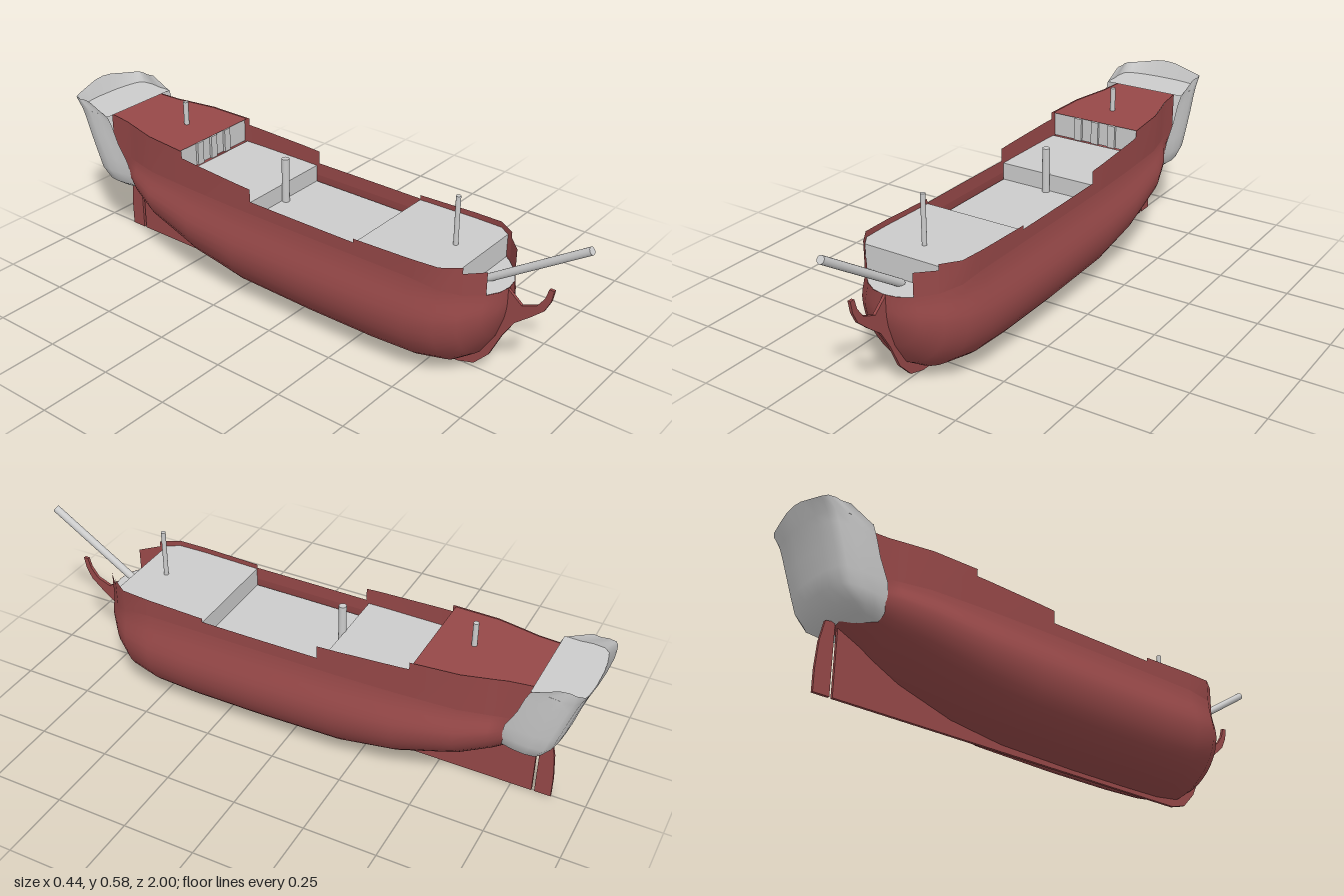
import * as THREE from 'three';

const red = new THREE.MeshStandardMaterial({ color: 0x964848, side: THREE.DoubleSide });
const grey = new THREE.MeshStandardMaterial({ color: 0xcccccc, side: THREE.DoubleSide });

// Hull stations: z, max half-beam, bottom y, y of max beam, half-width at rail, y where bulwark starts, hollowness
const stations = [
  [-0.83, 0.105, 0.232, 0.32, 0.12, 0.37, 1.5],
  [-0.74, 0.137, 0.19, 0.31, 0.13, 0.37, 1.6],
  [-0.7, 0.158, 0.165, 0.30, 0.14, 0.37, 1.6],
  [-0.6, 0.19, 0.115, 0.275, 0.163, 0.37, 1.5],
  [-0.4, 0.209, 0.055, 0.24, 0.175, 0.37, 1.2],
  [-0.2, 0.216, 0.028, 0.225, 0.181, 0.37, 1],
  [0.1, 0.218, 0.02, 0.22, 0.183, 0.37, 1],
  [0.35, 0.218, 0.02, 0.22, 0.183, 0.37, 1],
  [0.5, 0.214, 0.022, 0.225, 0.183, 0.37, 1.05],
  [0.6, 0.196, 0.035, 0.24, 0.178, 0.36, 1.15],
  [0.66, 0.155, 0.075, 0.25, 0.138, 0.345, 1.2],
  [0.71, 0.1, 0.155, 0.265, 0.087, 0.34, 1.2],
  [0.735, 0.048, 0.23, 0.28, 0.045, 0.34, 1.1],
  [0.742, 0.004, 0.27, 0.3, 0.004, 0.34, 1],
];

// Linear interpolation of one station column
function at(z, col) {
  let i = 0;
  while (i < stations.length - 2 && z > stations[i + 1][0]) i++;
  const a = stations[i], b = stations[i + 1];
  return THREE.MathUtils.lerp(a[col], b[col], THREE.MathUtils.clamp((z - a[0]) / (b[0] - a[0]), 0, 1));
}

// All sample positions between z0 and z1
const span = (z0, z1) => [z0, ...stations.map(s => s[0]).filter(z => z > z0 + 1e-4 && z < z1 - 1e-4), z1];

// Smooth surface through rows of points
function surface(rows, material, name) {
  const n = rows[0].length, index = [];
  for (let i = 0; i < rows.length - 1; i++)
    for (let j = 0; j < n - 1; j++) {
      const a = i * n + j, b = a + 1, c = a + n, d = c + 1;
      index.push(a, b, c, b, d, c);
    }
  const g = new THREE.BufferGeometry();
  g.setAttribute('position', new THREE.Float32BufferAttribute(rows.flat(2), 3));
  g.setIndex(index);
  g.computeVertexNormals();
  const m = new THREE.Mesh(g, material);
  m.name = name;
  return m;
}

function section([z, w, yb, ym, wt, yk, p]) {
  const half = [];
  for (let i = 0; i <= 10; i++) {
    const a = i / 10 * Math.PI / 2;
    half.push([w * Math.sin(a) ** p, yb + (ym - yb) * (1 - Math.cos(a)), z]);
  }
  for (let i = 1; i <= 5; i++) {
    const t = i / 5;
    half.push([w + (wt - w) * t * t * (3 - 2 * t), ym + (yk - ym) * t, z]);
  }
  return [...half.slice(1).reverse().map(([x, y, zz]) => [-x, y, zz]), ...half];
}

// Deck following the hull plan
function deck(name, z0, z1, y0, y1, material = grey) {
  return surface(span(z0, z1).map(z => {
    const w = at(z, 4) - 0.002, y = y0 + (y1 - y0) * (z - z0) / (z1 - z0);
    return [[w, y, z], [-w, y, z]];
  }), material, name);
}

// Wall across the ship
function bulkhead(name, z, y0, y1) {
  const w = at(z, 4) - 0.002;
  return surface([[[-w, y0, z], [w, y0, z]], [[-w, y1, z], [w, y1, z]]], grey, name);
}

// Thin plate drawn in the z-y plane
function plate(name, points) {
  const shape = new THREE.Shape(points.map(([z, y]) => new THREE.Vector2(-z, y)));
  const g = new THREE.ExtrudeGeometry(shape, { depth: 0.01, bevelEnabled: false });
  g.translate(0, 0, -0.005).rotateY(Math.PI / 2);
  const m = new THREE.Mesh(g, red);
  m.name = name;
  return m;
}

function spar(name, r, from, to) {
  const a = new THREE.Vector3(...from), b = new THREE.Vector3(...to);
  const m = new THREE.Mesh(new THREE.CylinderGeometry(r, r, a.distanceTo(b), 16), grey);
  m.position.copy(a).add(b).multiplyScalar(0.5);
  m.quaternion.setFromUnitVectors(new THREE.Vector3(0, 1, 0), b.sub(a).normalize());
  m.name = name;
  return m;
}

export function createModel() {
  const ship = new THREE.Group();
  ship.name = 'ship';

  ship.add(surface(stations.map(section), red, 'hull'));

  // Stepped bulwarks: z0, y0, z1, y1
  const rails = [
    [-0.83, 0.512, -0.44, 0.5], [-0.44, 0.475, -0.13, 0.46], [-0.13, 0.415, 0.29, 0.415],
    [0.29, 0.428, 0.66, 0.44], [0.66, 0.42, 0.712, 0.42],
  ];
  for (const side of [-1, 1])
    for (const [z0, y0, z1, y1] of rails)
      ship.add(surface(span(z0, z1).map(z => {
        const x = side * at(z, 4), top = y0 + (y1 - y0) * (z - z0) / (z1 - z0);
        return side > 0 ? [[x, at(z, 5), z], [x, top, z]] : [[x, top, z], [x, at(z, 5), z]];
      }), red, 'bulwark'));

  // Decks and the walls between their levels
  ship.add(
    deck('beakheadDeck', 0.64, 0.742, 0.34, 0.34),
    deck('foredeck', 0.29, 0.64, 0.412, 0.42),
    deck('mainDeck', -0.14, 0.29, 0.345, 0.345),
    deck('quarterDeck', -0.45, -0.14, 0.41, 0.405),
    deck('poopDeck', -0.83, -0.45, 0.51, 0.497, red),
    bulkhead('beakheadBulkhead', 0.64, 0.34, 0.42),
    bulkhead('foredeckBulkhead', 0.29, 0.345, 0.412),
    bulkhead('quarterDeckBulkhead', -0.14, 0.345, 0.405),
    bulkhead('poopBulkhead', -0.46, 0.41, 0.495),
  );
  for (const x of [-0.068, 0, 0.068]) {
    const panel = new THREE.Mesh(new THREE.BoxGeometry(0.028, 0.082, 0.01), grey);
    panel.position.set(x, 0.452, -0.456);
    panel.name = 'poopPanel';
    ship.add(panel);
  }

  // Stern gallery: U-shaped rings of y, front z, back z, half-width
  const rings = [
    [0.235, -0.76, -0.80, 0.06], [0.24, -0.74, -0.835, 0.11], [0.258, -0.738, -0.875, 0.135],
    [0.3, -0.738, -0.908, 0.148], [0.35, -0.745, -0.925, 0.152], [0.42, -0.78, -0.945, 0.156],
    [0.48, -0.8, -0.965, 0.157], [0.512, -0.815, -0.977, 0.158], [0.55, -0.9, -0.992, 0.158],
  ];
  const gallery = rings.map(([y, zf, zb, w], k) => {
    const d = zf - zb;
    const half = [
      [w * (0.86 + 0.14 * Math.min(1, k / 8)), zf], [w * 0.97, zf - d * 0.3], [w, zf - d * 0.55],
      [w * 0.97, zb + d * 0.2], [w * 0.85, zb + d * 0.09], [w * 0.55, zb + d * 0.03], [w * 0.25, zb], [0, zb],
    ];
    const lift = x => (k === 8 ? 0.025 * Math.cos(x / w * Math.PI / 2) ** 2 : 0);
    const pts = half.map(([x, z]) => [x, y + lift(x), z - lift(x) * 0.3]);
    return [...pts, ...pts.slice(0, -1).reverse().map(([x, yy, z]) => [-x, yy, z])];
  });
  ship.add(surface(gallery, grey, 'sternGallery'));
  const floor = (name, ring, y) => surface(
    ring.slice(0, 8).map(([x, yy, z]) => [[x, y ?? yy, z], [-x, y ?? yy, z]]), grey, name);
  ship.add(floor('galleryDeck', gallery[7], 0.515), floor('galleryUnderside', gallery[0]));

  // Keel with curved stem, and rudder
  ship.add(plate('keelAndStem', [
    [-0.82, 0.005], [0.58, 0.005], [0.64, 0.022], [0.69, 0.075], [0.73, 0.16], [0.77, 0.225], [0.82, 0.265],
    [0.865, 0.305], [0.885, 0.345], [0.892, 0.385], [0.875, 0.385], [0.865, 0.35], [0.84, 0.315],
    [0.79, 0.295], [0.735, 0.34], [0.7, 0.25], [0.6, 0.08], [-0.2, 0.06], [-0.6, 0.15], [-0.82, 0.245],
  ]));
  ship.add(plate('rudder', [
    [-0.83, 0.005], [-0.885, 0.005], [-0.885, 0.08], [-0.878, 0.17], [-0.863, 0.24], [-0.83, 0.245],
  ]));

  // Mast stumps and bowsprit
  ship.add(
    spar('foreMast', 0.008, [0, 0.34, 0.545], [0, 0.585, 0.545]),
    spar('mainMast', 0.013, [0, 0.34, -0.13], [0, 0.503, -0.13]),
    spar('mizzenMast', 0.009, [0, 0.41, -0.58], [0, 0.585, -0.58]),
    spar('bowsprit', 0.013, [0, 0.34, 0.66], [0, 0.556, 0.992]),
  );
  return ship;
}
